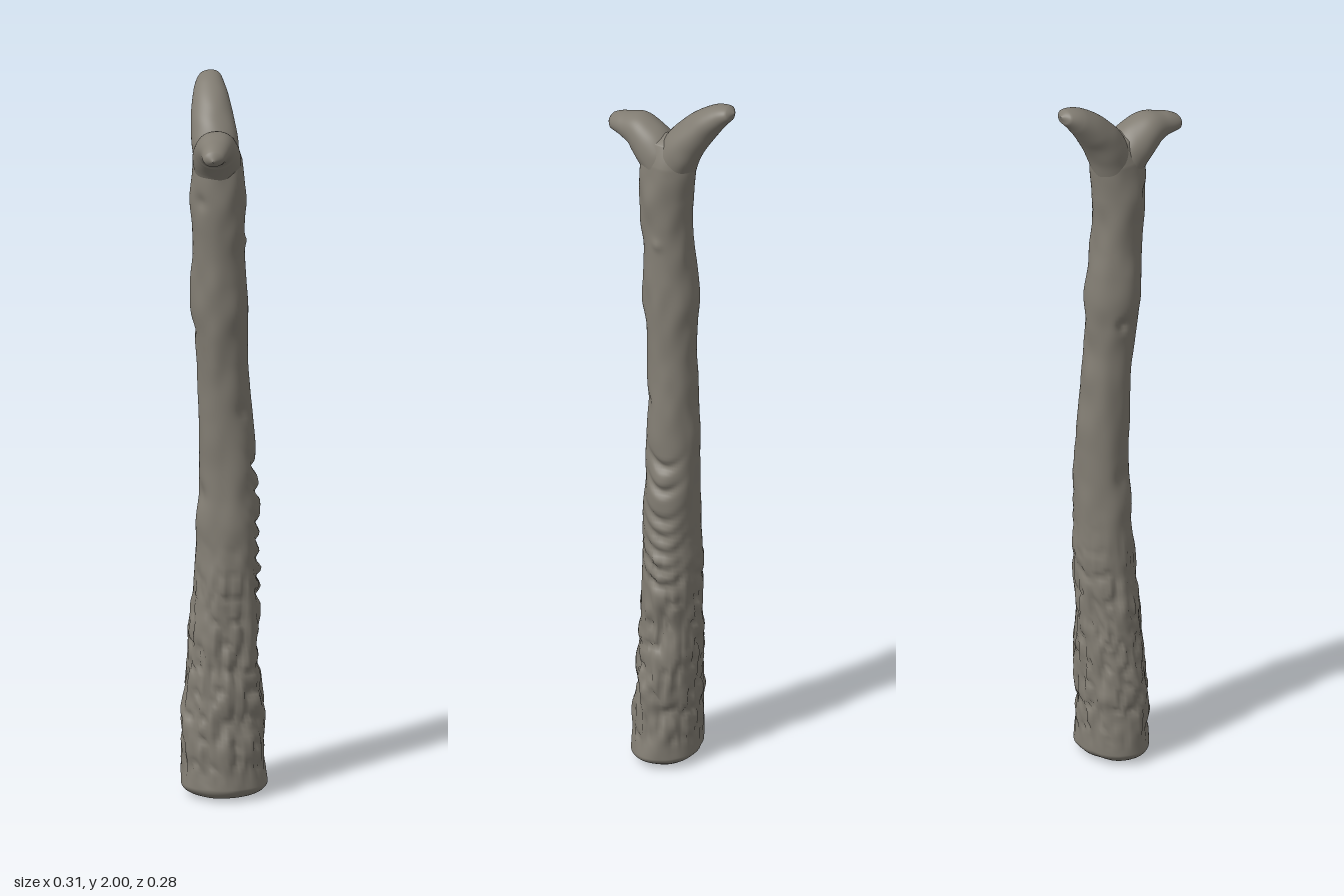
import * as THREE from 'three';

const SIDES = 64;
const ACROSS = new THREE.Vector3(1, 0, 1).normalize(); // perpendicular to the plane of the fork

// Seeded value noise, 0..1
function hash(x, y, z) {
  let h = (Math.imul(x, 374761393) + Math.imul(y, 668265263) + Math.imul(z, 1274126177)) | 0;
  h = Math.imul(h ^ (h >>> 13), 1274126177);
  return ((h ^ (h >>> 16)) >>> 0) / 4294967295;
}
function noise(x, y, z) {
  const ix = Math.floor(x), iy = Math.floor(y), iz = Math.floor(z);
  const s = (t) => t * t * (3 - 2 * t);
  const u = s(x - ix), v = s(y - iy), w = s(z - iz);
  const mix = THREE.MathUtils.lerp;
  const row = (j, k) => mix(hash(ix, iy + j, iz + k), hash(ix + 1, iy + j, iz + k), u);
  return mix(mix(row(0, 0), row(1, 0), v), mix(row(0, 1), row(1, 1), v), w);
}
const bell = (d, width) => Math.exp(-((d / width) ** 2));

// Skin through keys [x, y, z, radius across the fork, radius in the fork plane]
function loft(keys, perSegment, relief) {
  const path = new THREE.CatmullRomCurve3(keys.map((k) => new THREE.Vector3(k[0], k[1], k[2])));
  const radii = new THREE.CatmullRomCurve3(keys.map((k) => new THREE.Vector3(k[3], k[4], 0)));
  const rings = (keys.length - 1) * perSegment;
  const positions = [], index = [];
  for (let i = 0; i <= rings; i++) {
    const c = path.getPoint(i / rings), r = radii.getPoint(i / rings);
    const n = path.getTangent(i / rings).cross(ACROSS).normalize();
    for (let j = 0; j < SIDES; j++) {
      const angle = (j / SIDES) * Math.PI * 2;
      const p = c.clone()
        .addScaledVector(ACROSS, Math.cos(angle) * r.x)
        .addScaledVector(n, Math.sin(angle) * r.y);
      const out = p.clone().sub(c);
      const d = relief(p, angle) * Math.min(1, out.length() / 0.06);
      p.addScaledVector(out.normalize(), d);
      positions.push(p.x, Math.max(0, p.y), p.z);
      if (i < rings) {
        const a = i * SIDES + j, b = i * SIDES + ((j + 1) % SIDES);
        index.push(a, b, a + SIDES, b, b + SIDES, a + SIDES);
      }
    }
  }
  const geometry = new THREE.BufferGeometry();
  geometry.setAttribute('position', new THREE.Float32BufferAttribute(positions, 3));
  geometry.setIndex(index);
  geometry.computeVertexNormals();
  return geometry;
}

// Trunk relief: soft lumps, cracked lower bark, carved notches and knots
const NOTCHES = [0.915, 0.845, 0.755, 0.705, 0.655, 0.605, 0.555];
const KNOTS = [[1.32, Math.PI - 0.2, 0.018, -0.012], [1.57, 0, 0.015, 0.006],
  [1.7, 3.9, 0.02, -0.007], [0.85, 3.4, 0.03, -0.008], [1.09, 5.4, 0.02, -0.006],
  [0.42, 0.1, 0.045, -0.012], [0.16, 0.5, 0.03, -0.01]];
function trunkRelief(p, angle) {
  const a = Math.atan2(Math.sin(angle), Math.cos(angle));
  let d = (noise(p.x * 25 + 9, p.y * 13, p.z * 25) - 0.5) * 0.009;
  const bark = 1 - THREE.MathUtils.smoothstep(p.y, 0.4, 0.8);
  const foot = THREE.MathUtils.smoothstep(p.y, 0.03, 0.12);
  const crack = 1 - Math.abs(2 * noise(p.x * 48, p.y * 15 + 40, p.z * 48 + 7) - 1);
  d -= bark * foot * 0.013 * crack ** 5;
  d += bark * foot * 0.008 * (noise(p.x * 70, p.y * 30, p.z * 70) - 0.5);
  for (const y of NOTCHES) d -= 0.015 * bell(p.y - y - 0.05 * a * a + 0.012 * a, 0.014) * bell(a, 0.6);
  for (const [y, at, size, depth] of KNOTS) {
    const turn = Math.atan2(Math.sin(a - at), Math.cos(a - at)) * 0.075;
    d += depth * bell(Math.hypot(p.y - y, turn), size);
  }
  return d;
}
const prongRelief = (p) => (noise(p.x * 22, p.y * 22 + 5, p.z * 22) - 0.5) * 0.006;

export function createModel() {
  const group = new THREE.Group();
  group.name = 'forkedStaff';
  const wood = new THREE.MeshStandardMaterial({ color: 0x827d73 });
  wood.name = 'weathered wood';
  const add = (name, geometry) => {
    const mesh = new THREE.Mesh(geometry, wood);
    mesh.name = name;
    group.add(mesh);
  };

  add('trunk', loft([
    [0.025, 0, 0.02, 0.001, 0.001],
    [0.025, 0.008, 0.02, 0.09, 0.07],
    [0.025, 0.035, 0.02, 0.117, 0.092],
    [0.025, 0.2, 0.015, 0.114, 0.091],
    [0.035, 0.4, 0.01, 0.1, 0.085],
    [0.045, 0.6, 0.012, 0.091, 0.08],
    [0.052, 0.8, 0.015, 0.085, 0.073],
    [0.05, 0.95, 0.01, 0.078, 0.07],
    [0.033, 1.2, 0.008, 0.07, 0.066],
    [0.02, 1.4, 0.008, 0.076, 0.074],
    [0.01, 1.56, 0.012, 0.07, 0.068],
    [0.005, 1.7, 0.015, 0.075, 0.073],
    [0.008, 1.8, 0.01, 0.068, 0.076],
    [0.01, 1.86, 0.01, 0.045, 0.055],
    [0.01, 1.88, 0.01, 0.001, 0.001],
  ], 18, trunkRelief));

  add('tallProng', loft([
    [0.015, 1.74, 0.005, 0.055, 0.055],
    [0.035, 1.84, -0.02, 0.064, 0.056],
    [0.07, 1.91, -0.058, 0.055, 0.046],
    [0.108, 1.96, -0.096, 0.042, 0.034],
    [0.136, 1.98, -0.12, 0.028, 0.02],
    [0.146, 1.984, -0.13, 0.001, 0.001],
  ], 8, prongRelief));

  add('shortProng', loft([
    [0.01, 1.74, 0.01, 0.055, 0.055],
    [-0.018, 1.815, 0.03, 0.066, 0.06],
    [-0.06, 1.86, 0.062, 0.056, 0.052],
    [-0.1, 1.868, 0.092, 0.04, 0.036],
    [-0.137, 1.864, 0.115, 0.027, 0.021],
    [-0.15, 1.862, 0.124, 0.001, 0.001],
  ], 8, prongRelief));

  return group;
}
